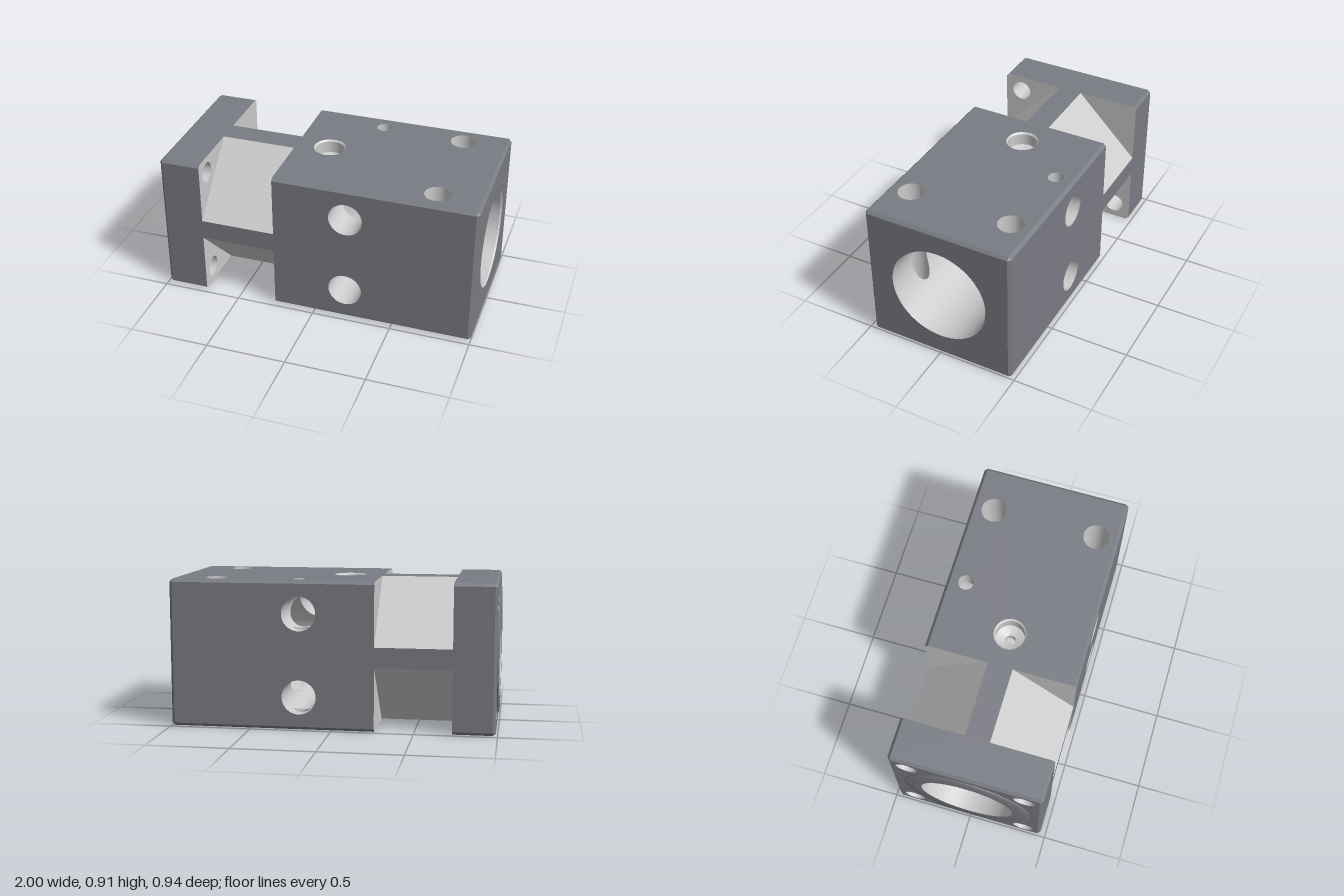
import * as THREE from 'three';
import { toCreasedNormals } from 'three/addons/utils/BufferGeometryUtils.js';

const Y = 0.455, Z = 0.4725, C = 0.018;        // half height, half depth, edge chamfer
const XL = -0.99, N0 = -0.73, N1 = -0.26;      // flange face, neck start and end
const NY = 0.062, NZ = 0.077;                  // half widths of the flat neck strips
const R = 0.305, STEP = -0.2;                  // main bore
const CROSS = { x: 0.2, y: 0.255, r: 0.105 };
const BOLT = { x: 0.72, z: 0.33, r: 0.08 };
const PIN = { x: 0.2, z: -0.355, r: 0.048 };
const PORT = { x: -0.05, r: 0.1, inner: 0.033 };
const SCREW = { y: 0.35, z: 0.36, r: 0.065 };

const painted = new THREE.MeshStandardMaterial({ color: 0x7a7c84, side: THREE.DoubleSide });
const machined = new THREE.MeshStandardMaterial({ color: 0xcccccc, side: THREE.DoubleSide });
const signs = [-1, 1];
const corners = [[1, 1], [1, -1], [-1, -1], [-1, 1]];

// half chord of a circle of radius r at distance d from its centre
const chord = (r, d) => Math.sqrt(Math.max(0, r * r - d * d));

function createMesh(parent, name, geometry, material) {
  const mesh = new THREE.Mesh(geometry, material);
  mesh.name = name;
  parent.add(mesh);
  return mesh;
}

// flat panel with round holes given as [x, y, r]
function panel(points, holes = []) {
  const shape = new THREE.Shape(points.map(p => new THREE.Vector2(...p)));
  for (const [x, y, r] of holes) {
    shape.holes.push(new THREE.Path().absarc(x, y, r, 0, Math.PI * 2, true));
  }
  return new THREE.ShapeGeometry(shape, 48);
}

// flat quads, each a list of four corners
function quads(list) {
  const pos = list.flatMap(([a, b, c, d]) => [a, b, c, a, c, d].flat());
  const geometry = new THREE.BufferGeometry();
  geometry.setAttribute('position', new THREE.Float32BufferAttribute(pos, 3));
  geometry.computeVertexNormals();
  return geometry;
}

// round wall: cuts(a) lists start/end pairs along the axis, leaving gaps where other holes cross
function wall(columns, point, cuts) {
  const pos = [], index = [];
  let n = 0;
  for (let i = 0; i <= columns; i++) {
    const a = (i / columns) * Math.PI * 2;
    const stops = cuts(a);
    n = stops.length;
    for (const t of stops) pos.push(...point(a, t));
    if (i === 0) continue;
    for (let k = 0; k < n; k += 2) {
      const p = (i - 1) * n + k, q = i * n + k;
      index.push(p, q, q + 1, p, q + 1, p + 1);
    }
  }
  const geometry = new THREE.BufferGeometry();
  geometry.setAttribute('position', new THREE.Float32BufferAttribute(pos, 3));
  geometry.setIndex(index);
  geometry.computeVertexNormals();
  return geometry;
}

// turned surface about the x axis from [radius, x] points
function turned(profile) {
  const points = profile.map(([r, x]) => new THREE.Vector2(r, x));
  return toCreasedNormals(new THREE.LatheGeometry(points, 96).rotateZ(-Math.PI / 2), 0.5);
}

// side outline, notched at the neck
function sideOutline(half, neck) {
  const h = half - C;
  const lower = [[XL + C, -h], [N0, -h], [N0, -neck], [N1, -neck], [N1, -h], [1 - C, -h]];
  return [...lower, ...lower.map(([x, y]) => [x, -y]).reverse()];
}

// chamfered edges of one end block
function chamfers(xNeck, xFace, dir) {
  const loop = corners.flatMap(([sy, sz]) => {
    const pair = [[sy * (Y - C), sz * Z], [sy * Y, sz * (Z - C)]];
    return sy * sz > 0 ? pair : pair.reverse();
  });
  const clamp = (v, m) => Math.max(-m, Math.min(m, v));
  const edge = xFace - dir * C, list = [];
  loop.forEach((p, i) => {
    const q = loop[(i + 1) % 8];
    const face = ([y, z]) => [xFace, clamp(y, Y - C), clamp(z, Z - C)];
    const add = quad => list.push(dir > 0 ? quad : quad.reverse());
    add([[edge, ...p], face(p), face(q), [edge, ...q]]);
    if (i % 2 === 0) add([[xNeck, ...p], [edge, ...p], [edge, ...q], [xNeck, ...q]]);
  });
  return quads(list);
}

export function createModel() {
  const model = new THREE.Group();
  model.name = 'bearingBlock';
  const block = new THREE.Group();
  block.name = 'block';
  block.position.set(0, Y, -0.006);
  model.add(block);

  // long sides
  const crossHoles = signs.map(s => [CROSS.x, s * CROSS.y, CROSS.r]);
  const boltHoles = signs.map(s => [BOLT.x, s * BOLT.z, BOLT.r]);
  for (const s of signs) {
    createMesh(block, s > 0 ? 'frontFace' : 'backFace',
      panel(sideOutline(Y, NY), crossHoles).translate(0, 0, Z), painted).rotation.x = s > 0 ? 0 : Math.PI;
    const holes = [...boltHoles, [PIN.x, -s * PIN.z, PIN.r], [PORT.x, 0, PORT.r]];
    createMesh(block, s > 0 ? 'topFace' : 'bottomFace',
      panel(sideOutline(Z, NZ), holes).translate(0, 0, Y), painted).rotation.x = -s * Math.PI / 2;
  }

  // end faces and chamfers
  const endOutline = [[-1, -1], [1, -1], [1, 1], [-1, 1]].map(([a, b]) => [a * (Z - C), b * (Y - C)]);
  const screwHoles = corners.map(([sy, sz]) => [sz * SCREW.z, sy * SCREW.y, SCREW.r]);
  createMesh(block, 'bodyEnd', panel(endOutline, [[0, 0, R + 0.007]]).translate(0, 0, 1), painted)
    .rotation.y = Math.PI / 2;
  createMesh(block, 'flangeEnd', panel(endOutline, [...screwHoles, [0, 0, 0.4]]).translate(0, 0, -XL), painted)
    .rotation.y = -Math.PI / 2;
  createMesh(block, 'bodyChamfers', chamfers(N1, 1, 1), painted);
  createMesh(block, 'flangeChamfers', chamfers(N0, XL, -1), painted);
  createMesh(block, 'flangeBoss', turned([[0.4, XL], [0.4, -0.995], [0.39, -1], [0.29, -1]]), painted);

  // neck slopes, the walls beside them and the flange screw holes
  for (const [sy, sz] of corners) {
    const slope = [[N0, sy * Y, sz * NZ], [N0, sy * NY, sz * Z], [N1, sy * NY, sz * Z], [N1, sy * Y, sz * NZ]];
    createMesh(block, 'neckSlope', quads([sy * sz > 0 ? slope : slope.reverse()]), machined);
    const corner = [[NZ, Y], [Z - C, Y], [Z, Y - C], [Z, NY]].map(([z, y]) => [sz * z, sy * y]);
    createMesh(block, 'flangeWall',
      panel(corner, [[sz * SCREW.z, sy * SCREW.y, SCREW.r]]).rotateY(Math.PI / 2)
        .scale(1, 1, 1).translate(N0, 0, 0), machined).scale.z = 1;
    createMesh(block, 'bodyWall', panel(corner).rotateY(-Math.PI / 2).translate(N1, 0, 0), machined);
    const screw = new THREE.CylinderGeometry(SCREW.r, SCREW.r, N0 - XL, 48, 1, true).rotateZ(Math.PI / 2);
    createMesh(block, 'screwHole', screw, machined)
      .position.set((N0 + XL) / 2, sy * SCREW.y, sz * SCREW.z);
  }

  // stepped main bore, opened where the cross holes break in
  createMesh(block, 'mainBore', wall(256, (a, x) => [x, R * Math.cos(a), R * Math.sin(a)], a => {
    const y = Math.abs(R * Math.cos(a)), z = Math.abs(R * Math.sin(a));
    const port = chord(PORT.inner, z), cross = chord(CROSS.r, y - CROSS.y), bolt = chord(BOLT.r, z - BOLT.z);
    return [STEP, PORT.x - port, PORT.x + port, CROSS.x - cross, CROSS.x + cross,
      BOLT.x - bolt, BOLT.x + bolt, 0.99];
  }), machined);
  createMesh(block, 'boreLip', turned([[R, 0.99], [R + 0.007, 1]]), machined);
  createMesh(block, 'steppedBore',
    turned([[0.29, -1], [0.29, -0.4], [0.237, -0.4], [0.237, STEP], [R, STEP]]), machined);

  // cross holes and bolt holes, trimmed at the bore
  for (const s of signs) {
    const crossY = a => s * CROSS.y + CROSS.r * Math.sin(a);
    createMesh(block, 'crossHole',
      wall(96, (a, z) => [CROSS.x + CROSS.r * Math.cos(a), crossY(a), z], a => {
        const h = chord(R, crossY(a)), pin = chord(PIN.r, CROSS.r * Math.cos(a));
        return [-Z, PIN.z - pin, PIN.z + pin, -h, h, Z];
      }), machined);
    const boltZ = a => s * BOLT.z + BOLT.r * Math.sin(a);
    createMesh(block, 'boltHole',
      wall(96, (a, y) => [BOLT.x + BOLT.r * Math.cos(a), y, boltZ(a)], a => {
        const h = chord(R, boltZ(a));
        return [-Y, -h, h, Y];
      }), machined);

    // counterbored port above and below
    const profile = [[PORT.r, Y], [0.09, Y - 0.01], [0.09, 0.37], [PORT.inner, 0.35], [PORT.inner, 0.304]];
    const port = new THREE.LatheGeometry(profile.map(p => new THREE.Vector2(...p)), 96);
    const mesh = createMesh(block, 'port', toCreasedNormals(port, 0.5), machined);
    mesh.position.x = PORT.x;
    mesh.rotation.x = s > 0 ? 0 : Math.PI;
  }

  // small pin hole running through both cross holes
  createMesh(block, 'pinHole',
    wall(96, (a, y) => [PIN.x + PIN.r * Math.cos(a), y, PIN.z + PIN.r * Math.sin(a)], a => {
      const h = chord(CROSS.r, PIN.r * Math.cos(a));
      return [-Y, -CROSS.y - h, -CROSS.y + h, CROSS.y - h, CROSS.y + h, Y];
    }), machined);

  return model;
}
